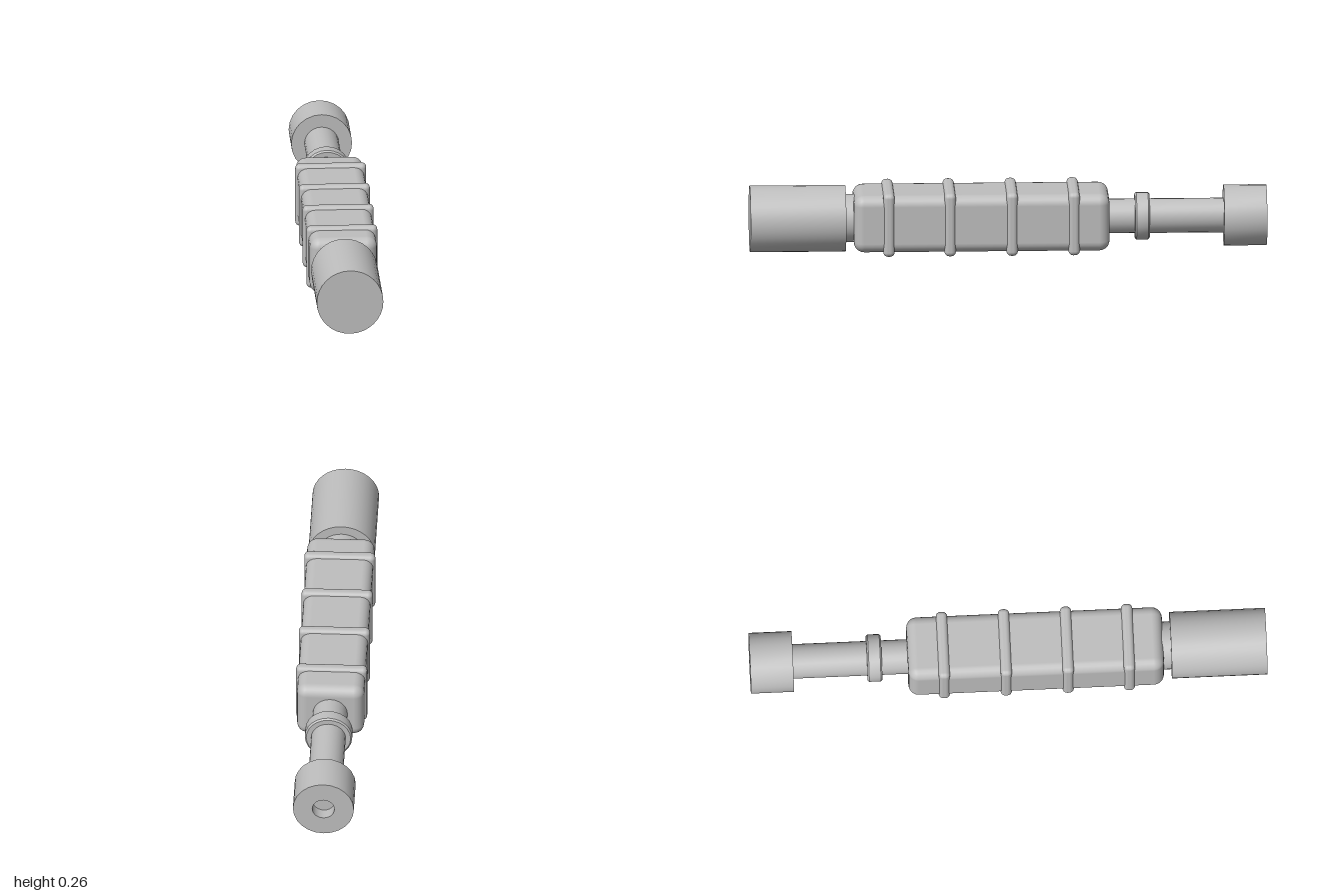
import * as THREE from 'three';
import { toCreasedNormals } from 'three/addons/utils/BufferGeometryUtils.js';
import { RoundedBoxGeometry } from 'three/addons/geometries/RoundedBoxGeometry.js';

const AXIS_Y = 0.129;

export function createModel() {
  const group = new THREE.Group();
  const metal = new THREE.MeshStandardMaterial({ color: 0xbebebe });
  metal.name = 'grey metal';

  const add = (name, geometry, z = 0) => {
    const mesh = new THREE.Mesh(geometry, metal);
    mesh.name = name;
    mesh.position.set(0, AXIS_Y, z);
    group.add(mesh);
  };

  // Turned part along z from [radius, z] points, listed back to front
  const turned = (name, profile, sides = 32) => {
    const points = profile.map(([r, z]) => new THREE.Vector2(r, z));
    const geometry = new THREE.LatheGeometry(points, sides).rotateX(Math.PI / 2);
    add(name, toCreasedNormals(geometry, 0.5));
  };
  const rod = (name, r, z0, z1, sides) =>
    turned(name, [[0, z0], [r, z0], [r, z1], [0, z1]], sides);

  // Front barrel and its short neck
  rod('frontBarrel', 0.129, 0.63, 1);
  rod('frontNeck', 0.093, 0.56, 0.635);

  // Rounded square grip with four raised bands
  add('grip', new RoundedBoxGeometry(0.26, 0.226, 0.99, 3, 0.04), 0.105);
  for (const z of [0.465, 0.228, -0.012, -0.252]) {
    add('gripBand', new RoundedBoxGeometry(0.275, 0.25, 0.044, 3, 0.018), z);
  }

  // Rear shaft with a bevelled collar
  rod('rearShaft', 0.067, -0.84, -0.37, 24);
  turned('collar', [
    [0.06, -0.547], [0.086, -0.547], [0.092, -0.541],
    [0.092, -0.496], [0.086, -0.49], [0.06, -0.49],
  ], 24);

  // Rear socket with a blind hole
  turned('rearSocket', [
    [0, -0.95], [0.043, -0.95], [0.043, -1],
    [0.118, -1], [0.118, -0.834], [0, -0.834],
  ], 24);

  return group;
}
